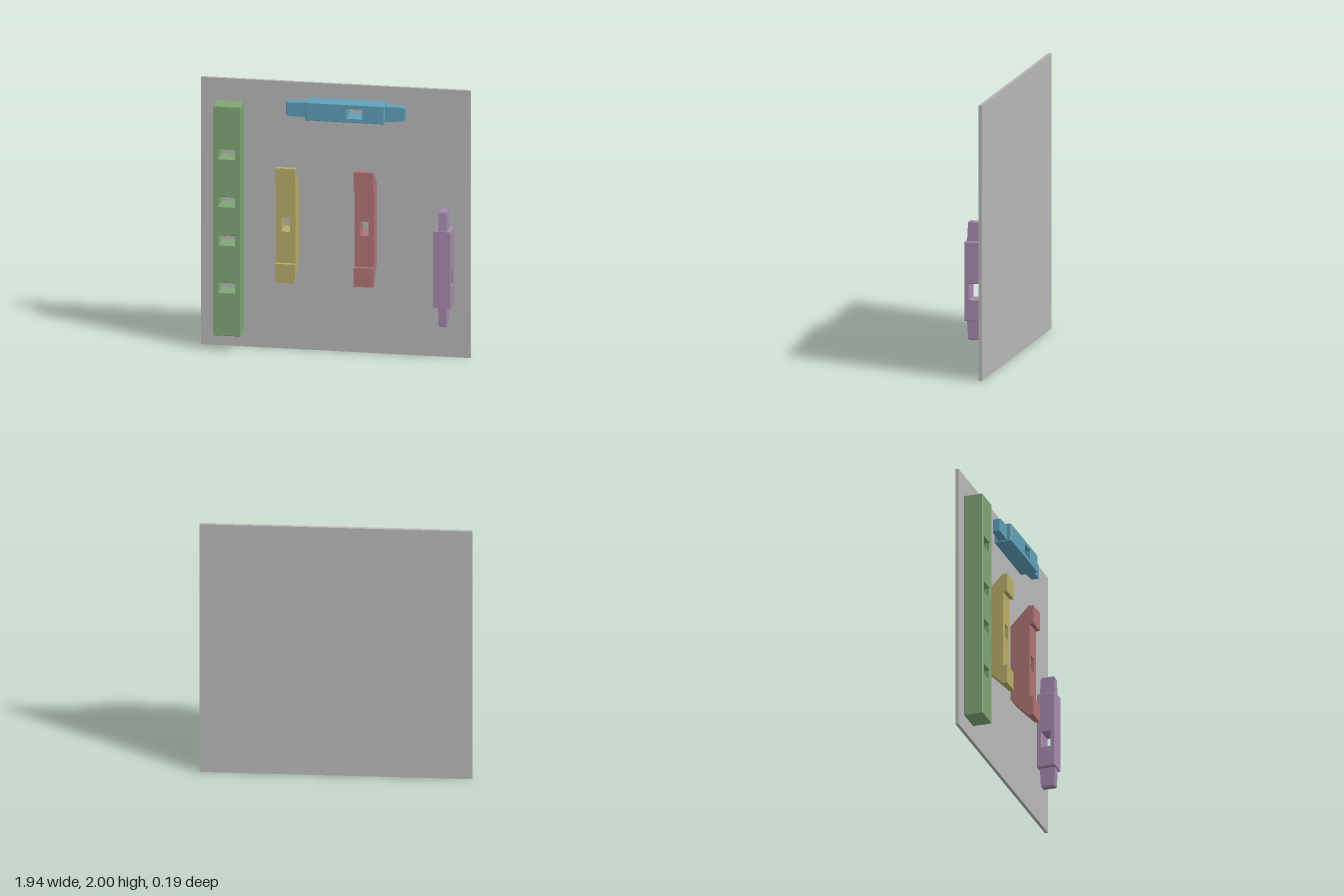
import * as THREE from 'three';

const BEVEL = 0.004;
const BACK = -0.074; // face of the board that the pieces rest on

const material = (name, color) => {
  const m = new THREE.MeshStandardMaterial({ color });
  m.name = name;
  return m;
};

// Closed outline from [x, y] points
const outline = (pts, Type = THREE.Shape) => new Type(pts.map(([x, y]) => new THREE.Vector2(x, y)));
const rect = (x0, y0, x1, y1) => [[x0, y0], [x1, y0], [x1, y1], [x0, y1]];

// Block spanning z0..z1 with rectangular through-holes [x0, y0, x1, y1]
function mortisedBlock(box, holes, z0, z1, bevel) {
  const shape = outline(rect(...box));
  for (const h of holes) shape.holes.push(outline(rect(...h), THREE.Path));
  const geo = new THREE.ExtrudeGeometry(shape, {
    depth: z1 - z0 - 2 * bevel, bevelEnabled: bevel > 0, bevelThickness: bevel,
    bevelSize: bevel, bevelOffset: -bevel, bevelSegments: 1,
  });
  return geo.translate(0, 0, z0 + bevel);
}

function add(group, name, geo, mat) {
  const mesh = new THREE.Mesh(geo, mat);
  mesh.name = name;
  group.add(mesh);
  return mesh;
}

// Tapered tenon along +x, with a small chamfer around its end
function tenonGeometry() {
  const length = 0.143, geo = new THREE.BoxGeometry(1, 1, 1, 2, 1, 1);
  const p = geo.attributes.position;
  const sections = [[0, 0.114, 0.062], [length - 0.008, 0.1, 0.056], [length, 0.092, 0.049]];
  for (let i = 0; i < p.count; i++) {
    const [x, h, d] = sections[Math.round((p.getX(i) + 0.5) * 2)];
    p.setXYZ(i, x, p.getY(i) * h, p.getZ(i) * d);
  }
  const flat = geo.toNonIndexed();
  flat.computeVertexNormals();
  return flat;
}

// Rail centred on its body, running along x, with a tenon at each end
function rail(name, mat) {
  const g = new THREE.Group();
  g.name = name;
  const half = 0.286;
  const body = mortisedBlock([-half, -0.0675, half, 0.0675], [[0.016, -0.034, 0.13, 0.034]],
    -0.0635, 0.0635, BEVEL);
  add(g, 'railBody', body, mat);
  for (const side of [-1, 1]) {
    const t = add(g, 'tenon', tenonGeometry(), mat);
    t.position.x = side * half;
    if (side < 0) t.rotation.y = Math.PI;
  }
  return g;
}

// Upright brace with raised heads and sloped backs, mortised in the middle
function brace(name, x, mat) {
  const g = new THREE.Group();
  g.name = name;
  const w = 0.141, front = 0.067, inner = 0.287, outer = 0.428;
  add(g, 'braceShaft', mortisedBlock([-w / 2, -inner, w / 2, inner],
    [[-0.032, -0.053, 0.032, 0.053]], BACK, front, 0), mat);
  // Head profile drawn as (z, y), extruded across the width
  const profile = [[BACK, inner], [0.1 - 0.003, inner], [0.097, outer], [0.062, outer]];
  for (const side of [1, -1]) {
    const shape = outline(profile.map(([z, y]) => [-z, y * side]));
    const geo = new THREE.ExtrudeGeometry(shape, { depth: w, bevelEnabled: false });
    geo.translate(0, 0, -w / 2).rotateY(Math.PI / 2);
    add(g, 'braceHead', geo, mat);
  }
  g.position.set(x, 0.974, 0);
  return g;
}

export function createModel() {
  const model = new THREE.Group();
  model.name = 'joineryDisplay';
  const grey = material('board grey', 0xb8b8b8);
  const green = material('post green', 0x7fa674);
  const blue = material('rail blue', 0x5f9fb8);
  const yellow = material('brace yellow', 0xb8ac68);
  const red = material('brace red', 0xb07474);
  const purple = material('rail purple', 0xa58aae);

  // Backing board
  const board = add(model, 'backBoard', new THREE.BoxGeometry(1.944, 2, 0.023), grey);
  board.position.set(0, 1, -0.0855);

  // Post with four mortises
  const holes = [0.477, 0.832, 1.12, 1.477].map((y) => [-0.819, y - 0.036, -0.705, y + 0.036]);
  add(model, 'post', mortisedBlock([-0.858, 0.117, -0.662, 1.835], holes, BACK, 0.067, BEVEL), green);

  // Braces
  model.add(brace('rightBrace', -0.337, yellow), brace('leftBrace', 0.228, red));

  // Horizontal rail
  const top = rail('horizontalRail', blue);
  top.position.set(0.085, 1.825, -0.0085);
  model.add(top);

  // Upright rail, turned so its mortise runs sideways
  const upright = rail('uprightRail', purple);
  upright.quaternion.setFromRotationMatrix(new THREE.Matrix4().makeBasis(
    new THREE.Vector3(0, -1, 0), new THREE.Vector3(0, 0, 1), new THREE.Vector3(-1, 0, 0)));
  upright.position.set(0.79, 0.692, -0.005);
  model.add(upright);

  return model;
}
